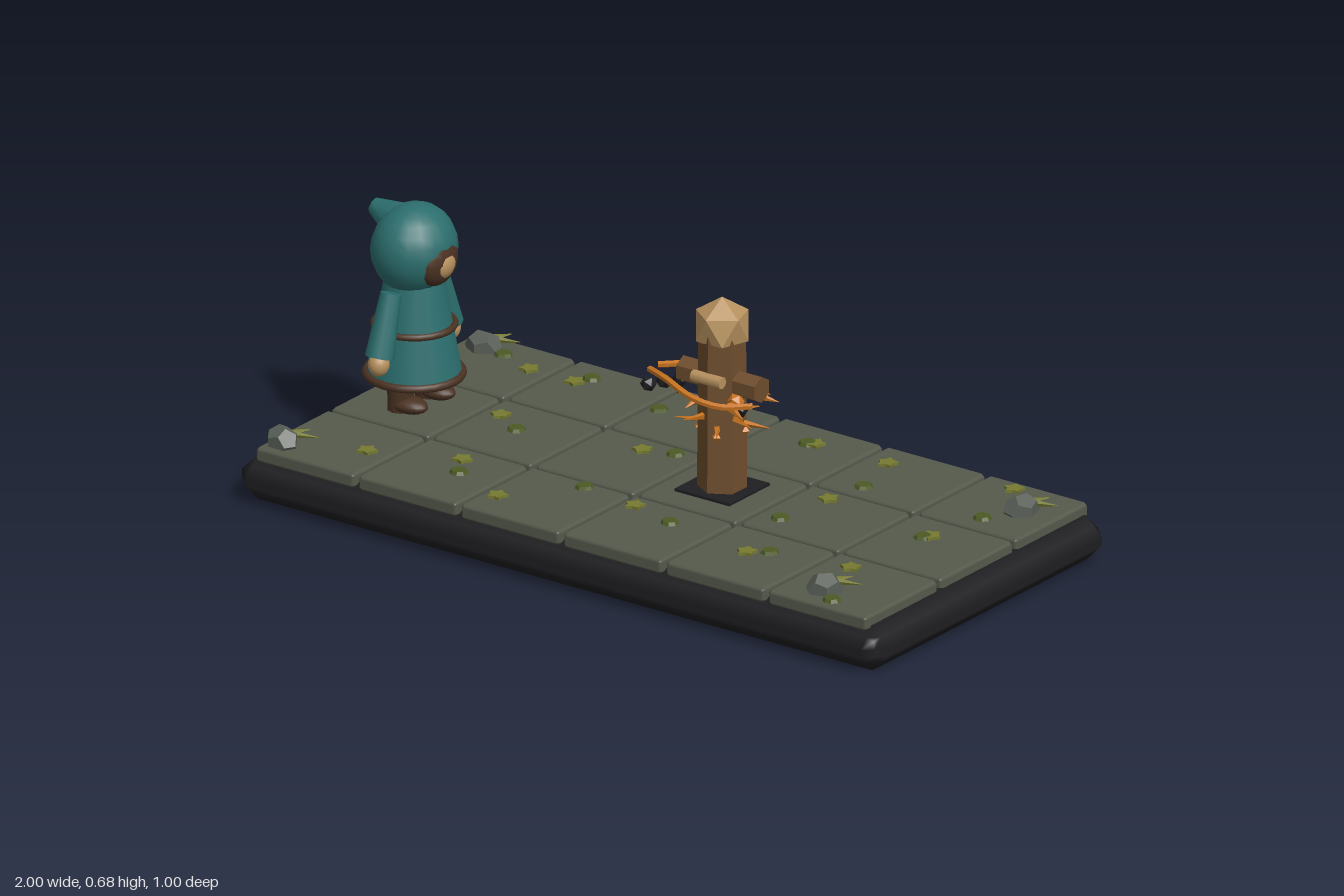
import * as THREE from 'three';
import { RoundedBoxGeometry } from 'three/addons/geometries/RoundedBoxGeometry.js';

const V = (x, y, z) => new THREE.Vector3(x, y, z);

export function createModel() {
  const mat = (name, color, flatShading = false) => {
    const m = new THREE.MeshStandardMaterial({ color, flatShading });
    m.name = name;
    return m;
  };
  const black = mat('charcoal', 0x1f1f22);
  const stone = mat('paving stone', 0x555a4c);
  const teal = mat('teal cloth', 0x2c6e6e);
  const brown = mat('dark leather', 0x4a3222);
  const tan = mat('pale tan', 0xb8925f);
  const wood = mat('post wood', 0x6f4e2e, true);
  const orange = mat('ember orange', 0xc87420, true);
  const moss = mat('light moss', 0x767a30, true);
  const mossDark = mat('dark moss', 0x4c5a24, true);
  const rock = mat('rock grey', 0x595f58, true);

  const model = new THREE.Group();
  model.name = 'trainingGround';
  const group = (name, parent = model) => {
    const g = new THREE.Group();
    g.name = name;
    parent.add(g);
    return g;
  };
  const add = (parent, name, geo, material, x = 0, y = 0, z = 0) => {
    const m = new THREE.Mesh(geo, material);
    m.name = name;
    m.position.set(x, y, z);
    parent.add(m);
    return m;
  };

  // Box with straight-cut edges and soft normals
  const chamferBox = (w, h, d, c) => {
    const geo = new RoundedBoxGeometry(w, h, d, 1, c);
    const p = geo.attributes.position;
    const inner = [w / 2 - c, h / 2 - c, d / 2 - c];
    for (let i = 0; i < p.count; i++) {
      const s = [p.getX(i), p.getY(i), p.getZ(i)];
      const n = s.map((v, k) => Math.max(0, Math.abs(v) - inner[k]));
      const sum = n[0] + n[1] + n[2];
      const q = s.map((v, k) => Math.sign(v) * (inner[k] + (n[k] / sum) * c));
      p.setXYZ(i, ...q);
    }
    return geo;
  };

  // Tapered rod from a to b
  const rod = (parent, name, a, b, ra, rb, sides, material) => {
    const dir = b.clone().sub(a);
    const m = add(parent, name, new THREE.CylinderGeometry(rb, ra, dir.length(), sides), material);
    m.position.copy(a).add(b).multiplyScalar(0.5);
    m.quaternion.setFromUnitVectors(V(0, 1, 0), dir.normalize());
    return m;
  };
  const ball = (parent, name, material, pos, rx, ry, rz) => {
    const m = add(parent, name, new THREE.SphereGeometry(1, 18, 12), material, ...pos);
    m.scale.set(rx, ry, rz);
    return m;
  };

  // Plinth and paving
  add(model, 'plinth', chamferBox(2, 0.12, 1, 0.05), black, 0, 0.06, 0);
  const paving = group('paving');
  const slab = chamferBox(0.307, 0.042, 0.307, 0.01);
  for (let i = 0; i < 6; i++) {
    for (let j = 0; j < 3; j++) add(paving, 'slab', slab, stone, (i - 2.5) * 0.317, 0.127, (j - 1) * 0.317);
  }

  // Moss tufts: light star patches and dark round patches
  const star = new THREE.Shape();
  for (let i = 0; i < 10; i++) {
    const r = i % 2 ? 0.018 : 0.028, a = (i / 10) * Math.PI * 2;
    star[i ? 'lineTo' : 'moveTo'](Math.cos(a) * r, Math.sin(a) * r);
  }
  const starGeo = new THREE.ExtrudeGeometry(star, { depth: 0.009, bevelEnabled: false }).rotateX(-Math.PI / 2);
  const discGeo = new THREE.CylinderGeometry(0.02, 0.025, 0.01, 8);
  const tufts = group('mossTufts');
  const lightSpots = [
    -0.69, -0.34, -0.55, -0.34, -0.1, -0.365, 0.175, -0.365, 0.395, -0.37, 0.75, -0.42, -0.57, -0.055,
    -0.15, -0.08, 0.415, -0.095, 0.765, -0.05, -0.475, 0.235, -0.7, 0.33, -0.265, 0.375, 0.05, 0.225,
    0.455, 0.305, 0.725, 0.235];
  const darkSpots = [
    -0.8, -0.38, -0.53, -0.385, -0.275, -0.32, 0.155, -0.36, 0.435, -0.215, 0.795, -0.225, -0.485, -0.005,
    -0.07, -0.11, 0.39, 0.075, 0.75, -0.035, -0.435, 0.305, -0.125, 0.2, 0.185, 0.26, 0.5, 0.27, 0.81, 0.43];
  for (let i = 0; i < lightSpots.length; i += 2) {
    add(tufts, 'lightMoss', starGeo, moss, lightSpots[i], 0.147, lightSpots[i + 1]).rotation.y = i * 0.7;
  }
  for (let i = 0; i < darkSpots.length; i += 2) {
    add(tufts, 'darkMoss', discGeo, mossDark, darkSpots[i], 0.152, darkSpots[i + 1]).rotation.y = i;
  }

  // Corner rocks with small leaves
  [[-0.865, -0.385], [0.85, -0.315], [-0.9, 0.415], [0.76, 0.39]].forEach(([x, z], i) => {
    const g = group('rockCluster');
    g.position.set(x, 0.148, z);
    const r = add(g, 'rock', new THREE.DodecahedronGeometry(0.05), rock, 0, 0.008, 0);
    r.rotation.y = i * 1.3;
    r.scale.set(1, 0.85, 0.85);
    rod(g, 'leaf', V(0.0, 0.02, -0.025), V(0.08, 0.022, -0.045), 0.012, 0.001, 5, moss);
    rod(g, 'leaf', V(0.0, 0.02, -0.025), V(0.035, 0.025, -0.07), 0.011, 0.001, 5, moss);
  });

  // Training post
  const post = group('trainingPost');
  post.position.x = 0.155;
  add(post, 'footPad', new THREE.BoxGeometry(0.17, 0.01, 0.17), black, 0, 0.15, 0);
  add(post, 'postShaft', new THREE.CylinderGeometry(0.06, 0.063, 0.45, 6), wood, 0, 0.375, 0);
  const cap = new THREE.IcosahedronGeometry(0.077).rotateX(-1.0172);
  add(post, 'postCap', cap, tan, 0, 0.588, 0);
  rod(post, 'crossbar', V(-0.12, 0.443, 0), V(0.122, 0.443, 0), 0.035, 0.035, 6, wood).rotateY(Math.PI / 2);
  rod(post, 'lashing', V(-0.045, 0.462, 0.06), V(0.045, 0.462, 0.06), 0.016, 0.016, 8, tan);

  // Curved prongs hugging the post
  const embers = group('emberCollar', post);
  for (const s of [-1, 1]) {
    const path = new THREE.CatmullRomCurve3([
      V(-0.21, 0.425, 0.018 * s), V(-0.13, 0.432, 0.06 * s), V(-0.03, 0.415, 0.088 * s),
      V(0.05, 0.405, 0.078 * s), V(0.12, 0.41, 0.035 * s)]);
    add(embers, 'prong', new THREE.TubeGeometry(path, 14, 0.009, 6), orange);
    rod(embers, 'thorn', V(-0.02, 0.41, 0.075 * s), V(-0.03, 0.395, 0.115 * s), 0.012, 0.001, 5, orange);
    rod(embers, 'thorn', V(0.06, 0.4, 0.05 * s), V(0.12, 0.385, 0.075 * s), 0.014, 0.001, 5, orange);
  }
  // Splinters around the post
  for (let i = 0; i < 8; i++) {
    const a = (i + 0.5) * Math.PI / 4, c = Math.cos(a), s = Math.sin(a);
    const y = i % 2 ? 0.33 : 0.355;
    rod(embers, 'splinter', V(c * 0.05, y, s * 0.05), V(c * 0.13, y - 0.004, s * 0.1), 0.01, 0.001, 4, orange);
    if (i % 2) add(embers, 'spark', new THREE.OctahedronGeometry(0.013), orange, c * 0.06, 0.31, s * 0.06);
  }
  add(embers, 'emberChunk', new THREE.IcosahedronGeometry(0.022), orange, 0.065, 0.408, 0.03);
  add(embers, 'coal', new THREE.IcosahedronGeometry(0.022), black, 0.055, 0.375, 0);
  [[-0.228, 0.375], [-0.18, 0.395], [-0.13, 0.412]].forEach(([x, y]) =>
    add(embers, 'coalBead', new THREE.IcosahedronGeometry(0.021), black, x, y, 0));

  // Hooded figure, facing the post
  const figure = group('hoodedFigure');
  figure.position.x = -0.797;
  add(figure, 'robe', new THREE.CylinderGeometry(0.075, 0.122, 0.26, 18), teal, 0, 0.36, 0);
  const ring = (name, y, r, t) =>
    add(figure, name, new THREE.TorusGeometry(r, t, 8, 24).rotateX(Math.PI / 2), brown, 0, y, 0);
  ring('hem', 0.232, 0.121, 0.011);
  ring('belt', 0.363, 0.102, 0.009);
  ball(figure, 'hood', teal, [0, 0.567, 0], 0.106, 0.117, 0.119);
  ball(figure, 'hoodOpening', brown, [0.07, 0.55, 0], 0.04, 0.067, 0.072);
  ball(figure, 'face', tan, [0.075, 0.543, 0], 0.04, 0.045, 0.048);
  rod(figure, 'hoodTail', V(-0.04, 0.625, 0), V(-0.125, 0.65, 0), 0.055, 0.022, 8, teal);
  for (const s of [-1, 1]) {
    rod(figure, 'sleeve', V(0, 0.475, 0.098 * s), V(0, 0.318, 0.147 * s), 0.027, 0.037, 12, teal);
    ball(figure, 'hand', tan, [0, 0.3, 0.15 * s], 0.027, 0.031, 0.029);
    rod(figure, 'leg', V(0, 0.15, 0.058 * s), V(0, 0.26, 0.058 * s), 0.034, 0.036, 10, brown);
    ball(figure, 'boot', brown, [0.025, 0.168, 0.058 * s], 0.055, 0.022, 0.036);
  }
  return model;
}
